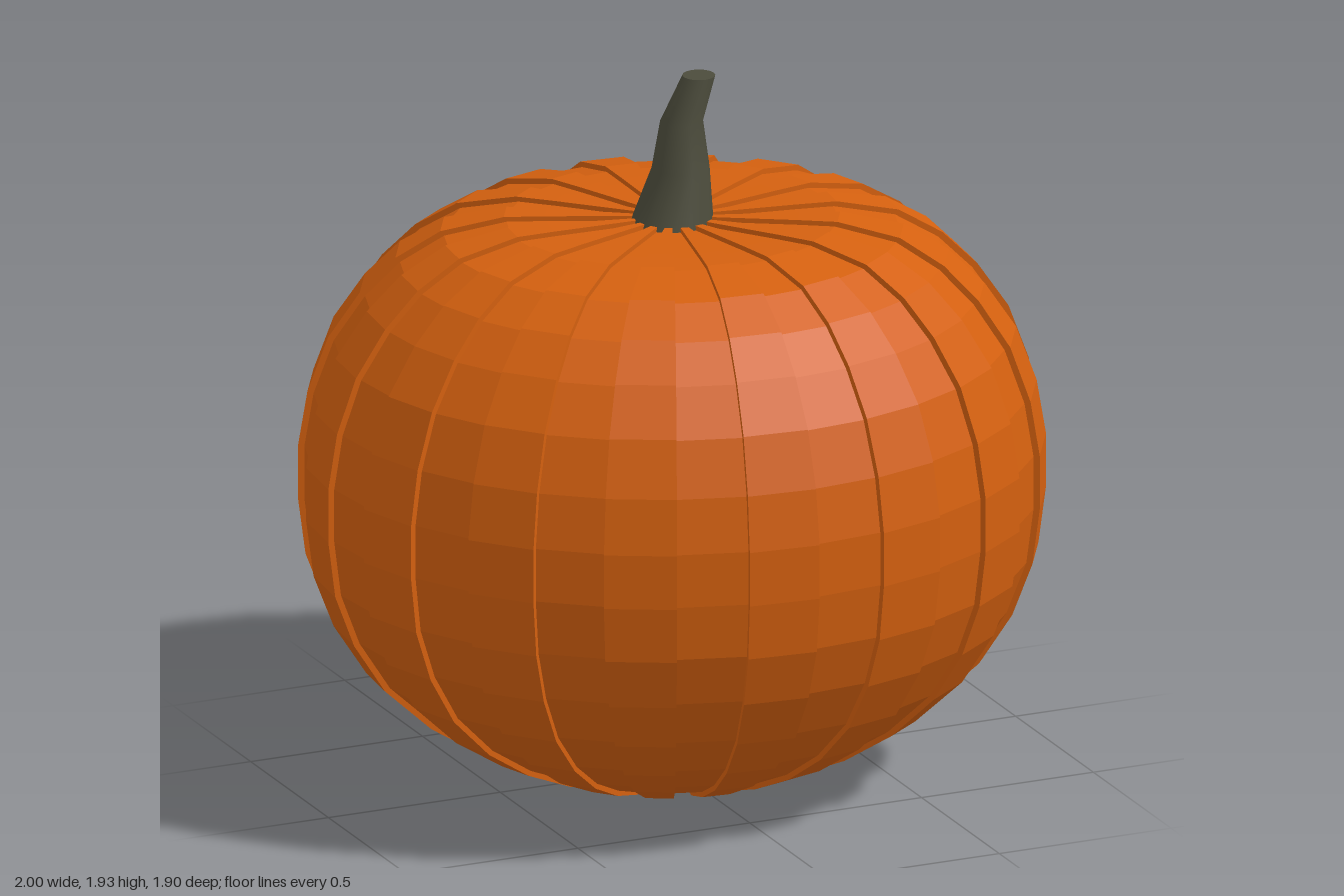
import * as THREE from 'three';

const WEDGES = 32;
const DEPTH = 0.95;   // body is slightly narrower front to back
const MID_Y = 0.775;
const GROOVE = 0.983; // scale of the recessed wedges

// body profile from bottom to top: radius, height
const PROFILE = [
  [0, 0], [0.25, 0], [0.39, 0.04], [0.55, 0.11], [0.7, 0.205], [0.835, 0.33],
  [0.925, 0.47], [0.98, 0.615], [1, 0.77], [1, 0.92], [0.975, 1.07], [0.92, 1.22],
  [0.835, 1.345], [0.74, 1.44], [0.62, 1.513], [0.45, 1.55], [0.34, 1.55], [0, 1.546],
];

// one vertical edge line of a wedge
function meridian(k, scale) {
  const a = (k / WEDGES) * Math.PI * 2;
  return PROFILE.map(([r, y]) => new THREE.Vector3(
    r * scale * Math.sin(a), MID_Y + (y - MID_Y) * scale, r * scale * Math.cos(a) * DEPTH));
}

// surface strip between two lines, left to right as seen from outside
function strip(out, left, right) {
  const tri = (a, b, c) => {
    if (a.distanceTo(b) < 1e-6 || b.distanceTo(c) < 1e-6 || a.distanceTo(c) < 1e-6) return;
    for (const p of [a, b, c]) out.push(p.x, p.y, p.z);
  };
  for (let i = 0; i < left.length - 1; i++) {
    tri(left[i], right[i], right[i + 1]);
    tri(left[i], right[i + 1], left[i + 1]);
  }
}

function meshFrom(positions, material, name) {
  const geo = new THREE.BufferGeometry();
  geo.setAttribute('position', new THREE.Float32BufferAttribute(positions, 3));
  geo.computeVertexNormals();
  const mesh = new THREE.Mesh(geo, material);
  mesh.name = name;
  return mesh;
}

// bent, tapering stem: skin through a few horizontal rings
function makeStem(material) {
  const rings = [[0, 0.11, 1.535], [0.025, 0.077, 1.68], [0.028, 0.057, 1.81], [0.078, 0.044, 1.93]];
  const sides = 16;
  const geo = new THREE.CylinderGeometry(1, 1, 1, sides, rings.length - 1);
  const p = geo.attributes.position;
  for (let i = 0; i < p.count; i++) {
    const [cx, r, y] = rings[Math.round((p.getY(i) + 0.5) * (rings.length - 1))];
    p.setXYZ(i, cx + p.getX(i) * r, y, p.getZ(i) * r);
  }
  // keep the seam smooth by copying the averaged normal to both ends
  geo.computeVertexNormals();
  const n = geo.attributes.normal;
  for (let row = 0; row < rings.length; row++) {
    const a = row * (sides + 1), b = a + sides;
    const v = new THREE.Vector3().fromBufferAttribute(n, a)
      .add(new THREE.Vector3().fromBufferAttribute(n, b)).normalize();
    n.setXYZ(a, v.x, v.y, v.z);
    n.setXYZ(b, v.x, v.y, v.z);
  }
  const mesh = new THREE.Mesh(geo, material);
  mesh.name = 'stem';
  return mesh;
}

export function createModel() {
  const skin = new THREE.MeshStandardMaterial({ color: 0xd4600f });
  skin.name = 'orange skin';
  skin.flatShading = true;
  const stemMat = new THREE.MeshStandardMaterial({ color: 0x4c4c3c });
  stemMat.name = 'dark stem';

  // alternating raised and recessed wedges, with side walls on the raised ones
  const ribs = [], grooves = [];
  for (let k = 0; k < WEDGES; k++) {
    if (k % 2 === 0) {
      strip(grooves, meridian(k, GROOVE), meridian(k + 1, GROOVE));
    } else {
      const a = meridian(k, 1), b = meridian(k + 1, 1);
      strip(ribs, a, b);
      strip(ribs, b, meridian(k + 1, GROOVE));
      strip(ribs, meridian(k, GROOVE), a);
    }
  }

  const model = new THREE.Group();
  model.name = 'pumpkin';
  model.add(meshFrom(ribs, skin, 'raisedRibs'), meshFrom(grooves, skin, 'recessedRibs'), makeStem(stemMat));
  return model;
}
